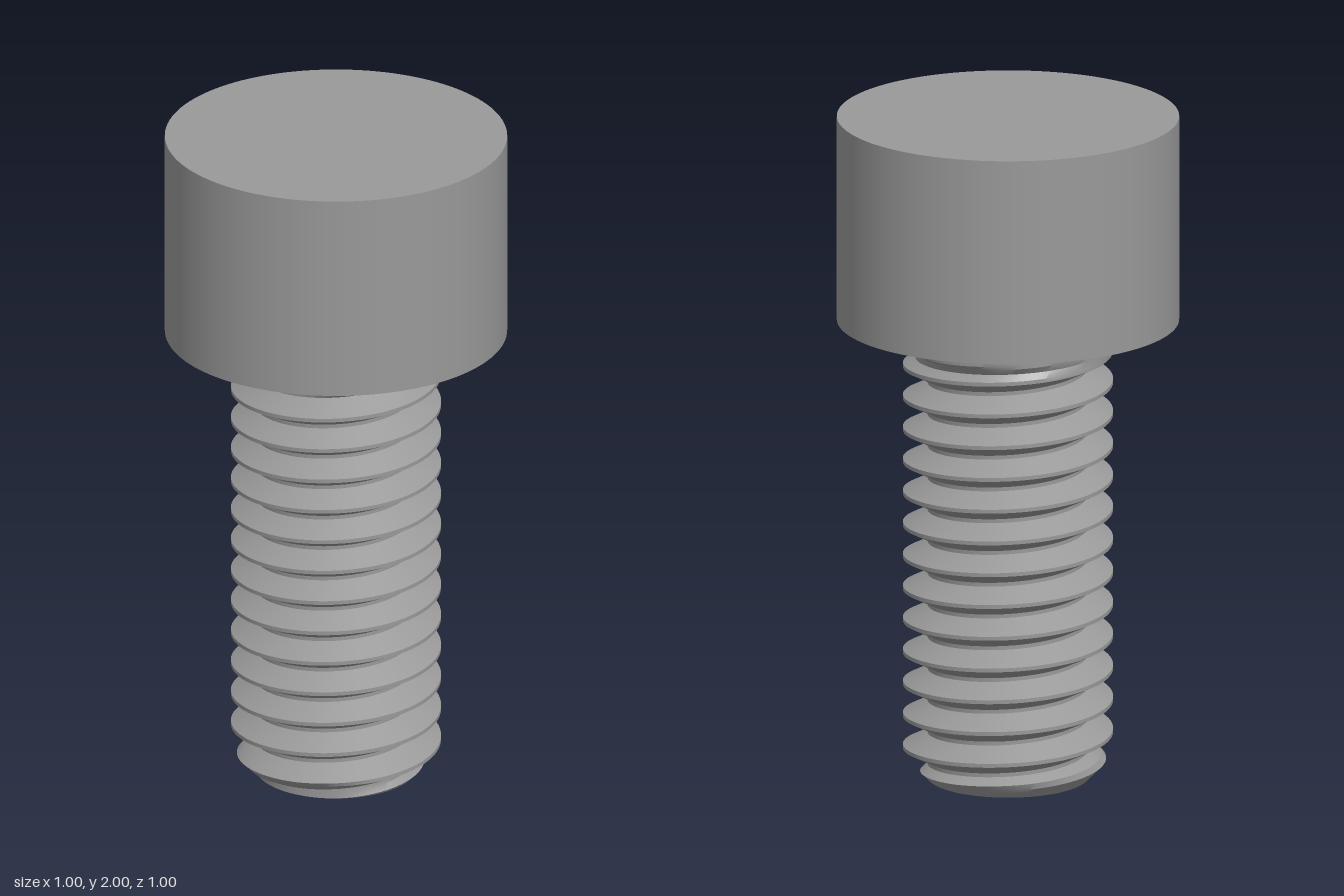
import * as THREE from 'three';
import { toCreasedNormals } from 'three/addons/utils/BufferGeometryUtils.js';

const HEAD_BASE = 1.385, MAJOR = 0.307, MINOR = 0.235, PITCH = 0.0962, CREST = 0.077;
const SEGMENTS = 96;

// One pitch of the thread: [fraction of pitch from the crest, depth 0..1]
const PROFILE = [[-0.06, 0], [0.06, 0], [0.25, 0.5], [0.44, 1], [0.56, 1], [0.75, 0.5]];

// Rows of vertices follow the helix, so the crests and roots stay crisp
function threadedShank() {
  const rows = [];
  for (let turn = -3; turn < 17; turn++) {
    for (const [f, depth] of PROFILE) rows.push([turn + f, depth]);
  }
  const point = ([turns, depth], i) => {
    const a = (i / SEGMENTS) * Math.PI * 2;
    const y = THREE.MathUtils.clamp(CREST + PITCH * (turns + i / SEGMENTS), 0, HEAD_BASE);
    // thread fades out below the head, and the tip is chamfered
    const fade = 1 - THREE.MathUtils.smoothstep(y, 1.27, 1.32);
    const r = Math.min(MAJOR - (MAJOR - MINOR) * depth * fade, MINOR + y);
    return new THREE.Vector3(Math.sin(a) * r, y, Math.cos(a) * r);
  };
  const positions = [];
  const triangle = (a, b, c) => {
    const area = b.clone().sub(a).cross(c.clone().sub(a)).length();
    if (area > 1e-9) for (const p of [a, b, c]) positions.push(p.x, p.y, p.z);
  };
  for (let j = 0; j < rows.length - 1; j++) {
    for (let i = 0; i < SEGMENTS; i++) {
      const a = point(rows[j], i), b = point(rows[j], i + 1);
      const c = point(rows[j + 1], i + 1), d = point(rows[j + 1], i);
      triangle(a, b, c);
      triangle(a, c, d);
    }
  }
  const geometry = new THREE.BufferGeometry();
  geometry.setAttribute('position', new THREE.Float32BufferAttribute(positions, 3));
  return toCreasedNormals(geometry, Math.PI / 6);
}

export function createModel() {
  const steel = new THREE.MeshStandardMaterial({ color: 0x999999 });
  steel.name = 'steel grey';
  const model = new THREE.Group();
  model.name = 'capScrew';

  const add = (name, geometry) => {
    const mesh = new THREE.Mesh(geometry, steel);
    mesh.name = name;
    model.add(mesh);
    return mesh;
  };

  // Plain cylindrical head
  const height = 2 - HEAD_BASE;
  add('head', new THREE.CylinderGeometry(0.5, 0.5, height, 128)).position.y = HEAD_BASE + height / 2;

  // Threaded shank with a flat end
  add('threadedShank', threadedShank());
  add('shankEnd', new THREE.CircleGeometry(MINOR, SEGMENTS)).rotation.x = Math.PI / 2;

  return model;
}
